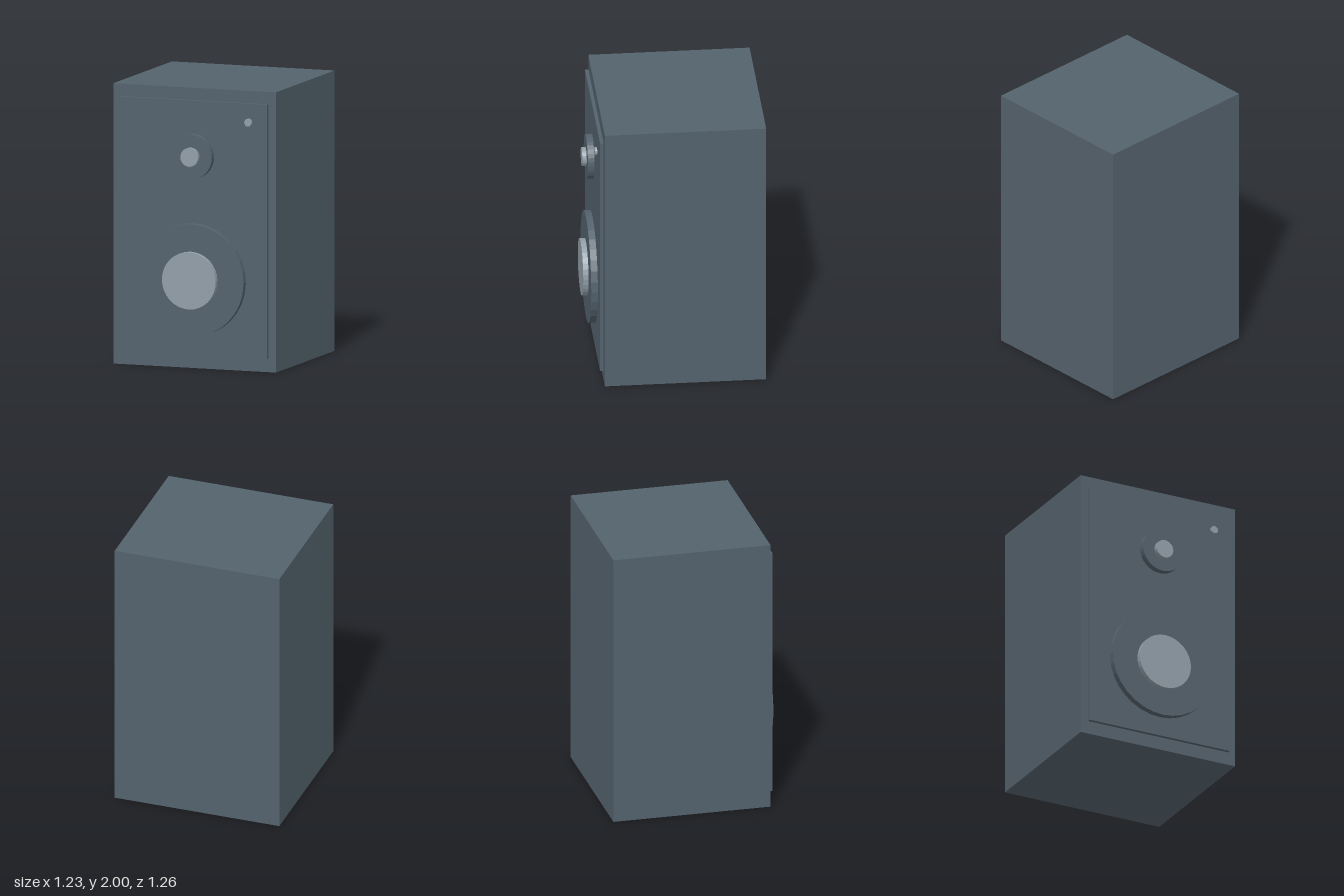
import * as THREE from 'three';

export function createModel() {
  const group = new THREE.Group();
  const slate = new THREE.MeshStandardMaterial({ color: 0x54626d, flatShading: true });
  slate.name = 'slate';
  const silver = new THREE.MeshStandardMaterial({ color: 0x939fa9, flatShading: true });
  silver.name = 'silver';

  // Box spanning the given ranges, centred on x
  function slab(name, width, y0, y1, z0, z1) {
    const mesh = new THREE.Mesh(new THREE.BoxGeometry(width, y1 - y0, z1 - z0), slate);
    mesh.position.set(0, (y0 + y1) / 2, (z0 + z1) / 2);
    mesh.name = name;
    group.add(mesh);
  }

  // Round disc facing the front, from z0 to z1
  function disc(name, material, x, y, radius, z0, z1, sides) {
    const geometry = new THREE.CylinderGeometry(radius, radius, z1 - z0, sides);
    geometry.rotateX(Math.PI / 2);
    const mesh = new THREE.Mesh(geometry, material);
    mesh.position.set(x, y, (z0 + z1) / 2);
    mesh.name = name;
    group.add(mesh);
  }

  // Cabinet and raised front baffle
  slab('cabinet', 1.232, 0, 2, -0.629, 0.515);
  slab('frontBaffle', 1.12, 0.095, 1.912, 0.519, 0.544);

  // Large driver
  disc('wooferRing', slate, 0, 0.637, 0.4, 0.544, 0.591, 32);
  disc('wooferCap', silver, 0, 0.637, 0.204, 0.591, 0.629, 32);

  // Small driver
  disc('tweeterRing', slate, 0, 1.517, 0.159, 0.544, 0.591, 32);
  disc('tweeterCap', silver, 0, 1.517, 0.067, 0.591, 0.622, 24);

  // Indicator light
  disc('indicatorLight', silver, 0.424, 1.78, 0.028, 0.553, 0.57, 12);

  return group;
}
